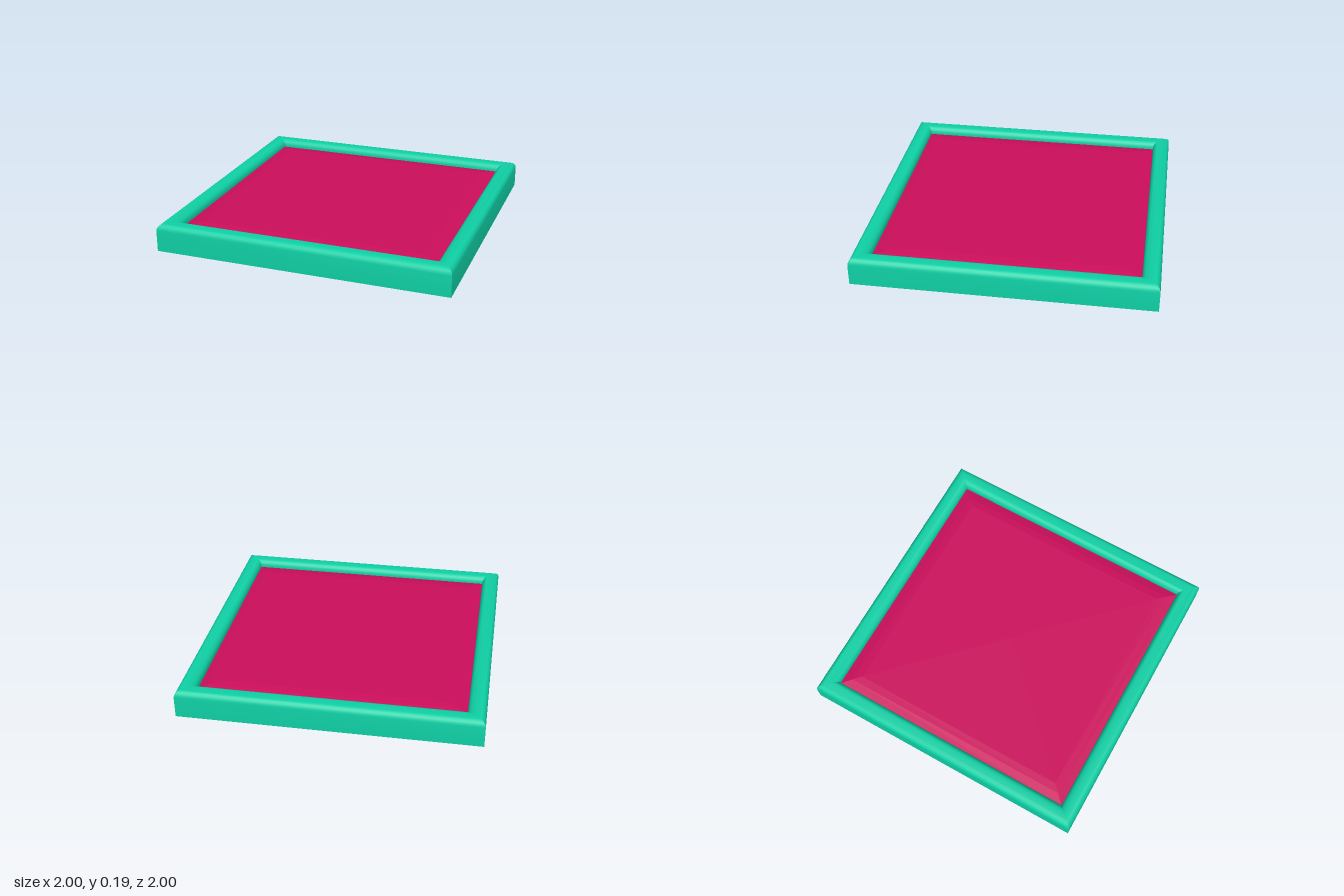
import * as THREE from 'three';
import { toCreasedNormals } from 'three/addons/utils/BufferGeometryUtils.js';

// Revolves a profile of [half width, height] in four steps, giving mitred square rings
function squareSweep(name, profile, color, crease) {
  const points = profile.map(([w, y]) => new THREE.Vector2(w * Math.SQRT2, y));
  const geometry = new THREE.LatheGeometry(points, 4, Math.PI / 4);
  const mesh = new THREE.Mesh(
    toCreasedNormals(geometry, crease),
    new THREE.MeshStandardMaterial({ color })
  );
  mesh.name = name;
  return mesh;
}

// Quarter round of the frame's top edge, from angle a0 to a1
function quarterRound(cx, cy, r, a0, a1, steps = 5) {
  return Array.from({ length: steps + 1 }, (_, i) => {
    const a = a0 + ((a1 - a0) * i) / steps;
    return [cx + r * Math.cos(a), cy + r * Math.sin(a)];
  });
}

export function createModel() {
  const group = new THREE.Group();
  group.name = 'framedTile';

  // Closed base, upright sides and rounded rim
  const rim = [
    [0, 0],
    [1, 0],
    ...quarterRound(0.955, 0.145, 0.045, 0, Math.PI / 2),
    ...quarterRound(0.925, 0.145, 0.045, Math.PI / 2, Math.PI),
    [0.88, 0.1]
  ];
  group.add(squareSweep('frame', rim, 0x0fd0a5, 0.5));

  // Inset panel with a shallow sloping border
  const panel = [
    [0.88, 0.1],
    [0.88, 0.135],
    [0.82, 0.148],
    [0.77, 0.153],
    [0, 0.153]
  ];
  group.add(squareSweep('panel', panel, 0xcc0e5c, 0.08));

  return group;
}
